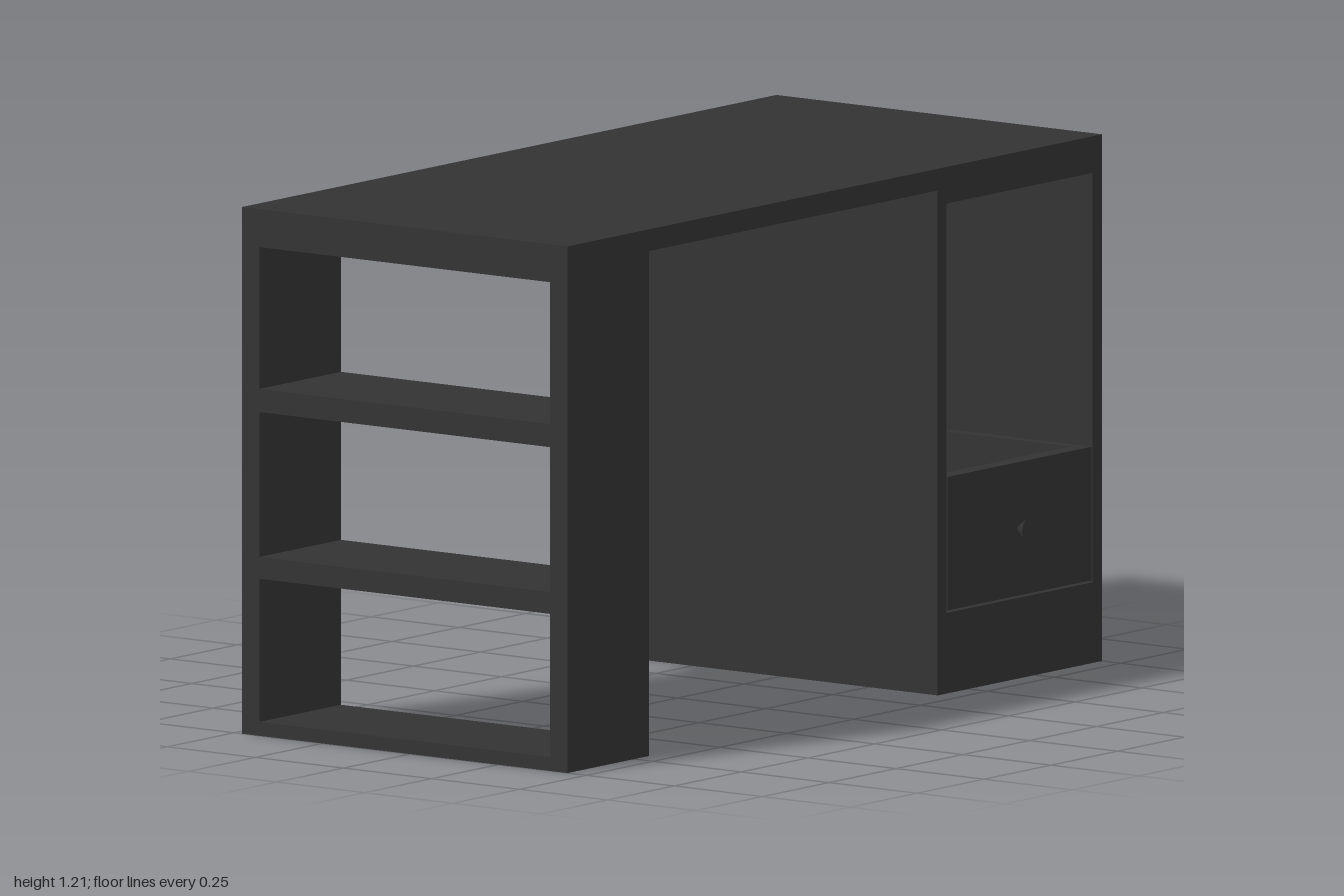
import * as THREE from 'three';

const material = new THREE.MeshStandardMaterial({ color: 0x333333, flatShading: true });

// Rectangle path from two opposite corners
function rect(path, x0, y0, x1, y1) {
  path.moveTo(x0, y0);
  path.lineTo(x1, y0);
  path.lineTo(x1, y1);
  path.lineTo(x0, y1);
  path.closePath();
  return path;
}

// Panel with rectangular openings, extruded along z from 0 to depth
function frame(outer, holes, depth) {
  const shape = rect(new THREE.Shape(), ...outer);
  shape.holes = holes.map((h) => rect(new THREE.Path(), ...h));
  return new THREE.ExtrudeGeometry(shape, { depth, bevelEnabled: false });
}

function add(parent, name, geometry) {
  const mesh = new THREE.Mesh(geometry, material);
  mesh.name = name;
  parent.add(mesh);
  return mesh;
}

// Box given by its minimum and maximum corners
function box(parent, name, [x0, y0, z0], [x1, y1, z1]) {
  const mesh = add(parent, name, new THREE.BoxGeometry(x1 - x0, y1 - y0, z1 - z0));
  mesh.position.set((x0 + x1) / 2, (y0 + y1) / 2, (z0 + z1) / 2);
  return mesh;
}

export function createModel() {
  const desk = new THREE.Group();
  desk.name = 'desk';
  const back = -0.478, front = 0.447, under = 1.157, top = 1.207;

  box(desk, 'desktop', [-1, under, back], [1, top, front]);

  // Open shelf pedestal: three openings running through from side to side
  const openings = [[0.032, 0.36], [0.41, 0.742], [0.795, 1.12]]
    .map(([y0, y1]) => [-front + 0.05, y0, -back - 0.05, y1]);
  const shelves = add(desk, 'shelfUnit', frame([-front, 0, -back, under], openings, 0.305));
  shelves.rotation.y = Math.PI / 2;
  shelves.position.x = -1;

  // Cabinet pedestal: open at the front, closed at the back
  const cabinet = new THREE.Group();
  cabinet.name = 'cabinet';
  desk.add(cabinet);
  const backPanel = 0.035;
  const shell = add(cabinet, 'cabinetShell',
    frame([0.385, 0, 1, under], [[0.417, 0.185, 0.965, 1.123]], front - back - backPanel));
  shell.position.z = back + backPanel;
  box(cabinet, 'cabinetBack', [0.385, 0, back], [1, under, back + backPanel]);

  // Drawer with an open top
  const drawer = new THREE.Group();
  drawer.name = 'drawer';
  desk.add(drawer);
  const x0 = 0.421, x1 = 0.961, y0 = 0.19, y1 = 0.496, z0 = back + 0.045, wall = 0.025;
  const walls = add(drawer, 'drawerWalls',
    frame([x0, -front, x1, -z0], [[x0 + wall, -front + 0.04, x1 - wall, -z0 - wall]], y1 - y0));
  walls.rotation.x = -Math.PI / 2;
  walls.position.y = y0;
  box(drawer, 'drawerBottom', [x0 + wall, y0, z0 + wall], [x1 - wall, y0 + 0.015, front - 0.04]);

  // Conical knob, widening outward
  const knob = add(drawer, 'drawerKnob', new THREE.ConeGeometry(0.03, 0.04, 32));
  knob.material = new THREE.MeshStandardMaterial({ color: 0x333333 });
  knob.rotation.x = -Math.PI / 2;
  knob.position.set(0.69, 0.343, 0.458);

  return desk;
}
